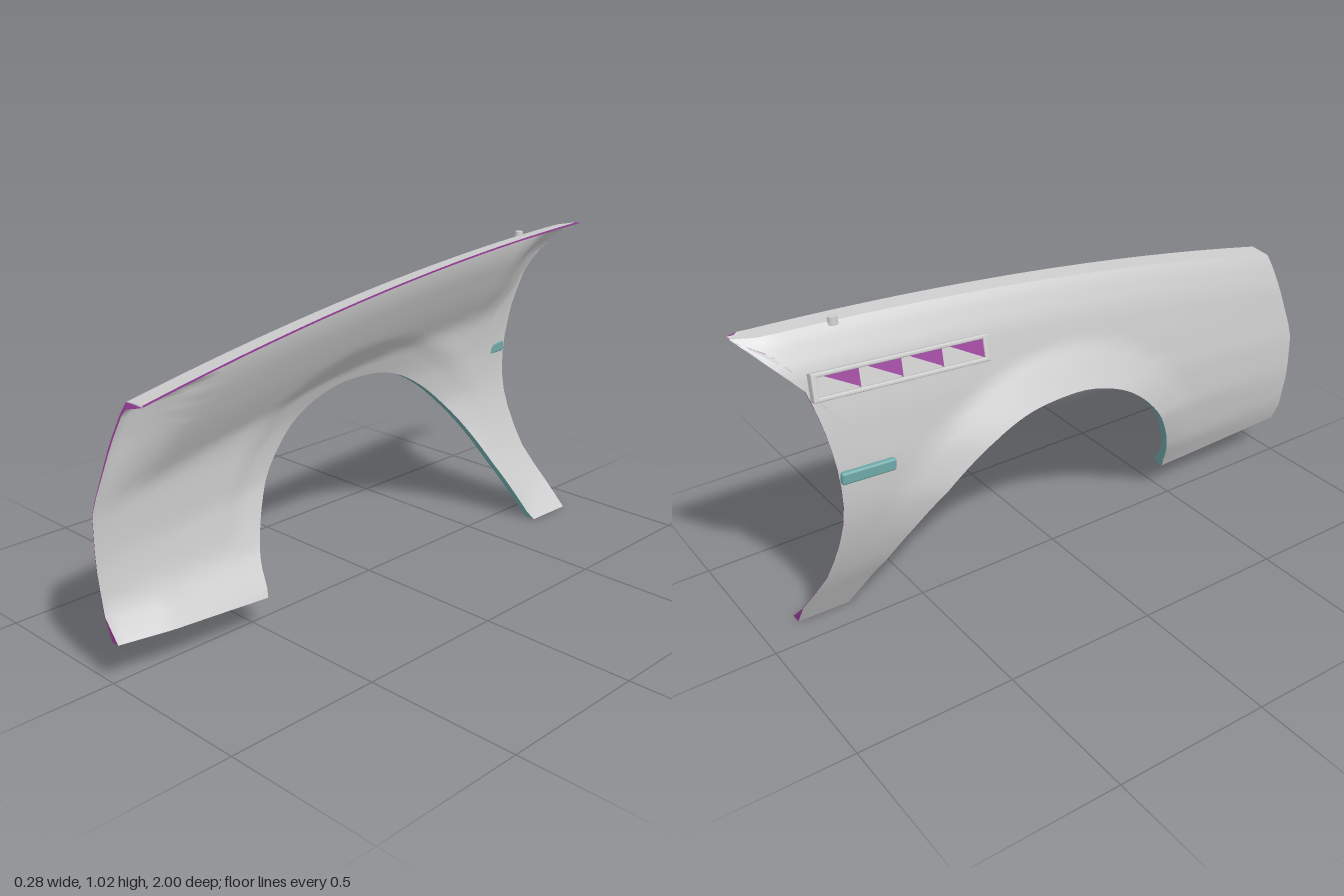
import * as THREE from 'three';
import { RoundedBoxGeometry } from 'three/addons/geometries/RoundedBoxGeometry.js';

const { clamp, lerp, smoothstep } = THREE.MathUtils;
const mat = (color) => new THREE.MeshStandardMaterial({ color, side: THREE.DoubleSide });
const grey = mat(0xcccccc), purple = mat(0x9a3f9a), teal = mat(0x6fa8a8);
const fade = (d, w) => clamp(1 - d / w, 0, 1);
const curve = (points) => new THREE.CatmullRomCurve3(
  points.map(([y, z]) => new THREE.Vector3(0, y, z)), false, 'centripetal');

// Wheel arch, front to rear, and rear edge, bottom to top, as (y, z)
const arch = curve([
  [0.10, 0.49], [0.22, 0.45], [0.33, 0.40], [0.45, 0.32], [0.555, 0.20], [0.61, 0.06], [0.62, -0.06],
  [0.605, -0.2], [0.55, -0.33], [0.46, -0.45], [0.345, -0.55], [0.22, -0.62], [0, -0.71],
]);
const rearPoints = [
  [0, -0.88], [0.07, -0.88], [0.2, -0.83], [0.42, -0.79], [0.56, -0.79], [0.75, -0.82], [0.94, -0.89], [1.014, -1],
];
const rear = curve(rearPoints);
const frontZ = (y) => (y < 0.5 ? 1 : 1 - 0.3 * (y - 0.5));

// Side profiles, as (share of height, x)
const frontProfile = [[0, 0.06], [0.16, 0.012], [0.25, -0.02], [0.44, -0.045], [0.62, -0.045], [0.86, -0.02], [0.955, 0], [1, 0.015]];
const rearProfile = [[0, 0.1], [0.1, 0.04], [0.2, -0.02], [0.33, -0.07], [0.45, -0.1], [0.58, -0.105], [0.75, -0.09], [0.9, -0.06], [0.98, -0.015], [1, 0.005]];
function lookup(table, h) {
  let i = 1;
  while (i < table.length - 1 && table[i][0] < h) i++;
  const [a, b] = [table[i - 1], table[i]];
  return lerp(a[1], b[1], clamp((h - a[0]) / (b[0] - a[0]), 0, 1));
}
const topY = (z) => 0.939 - 0.1193 * z - 0.0443 * z * z;
const rimX = (z) => lerp(0.085, 0.055, (0.91 - z) / 1.9);
function bodyX(y, z) {
  const h = clamp(y / topY(z), 0, 1);
  const x = lerp(lookup(frontProfile, h), lookup(rearProfile, h), clamp((1 - z) / 2, 0, 1));
  return x - 0.015 * (1 - z * z) * Math.sin(Math.PI * h) + 0.03 * clamp((-0.93 - z) / 0.07, 0, 1);
}

// Columns run from the arch to the outer outline
const NF = 16, NT = 30, NR = 20, ROWS = 24, COLS = NF + NT + NR;
function column(i) {
  if (i <= NF) {
    const t = i / NF, y = lerp(0.13, 0.8, 1 - (1 - t) ** 1.6), z = frontZ(y);
    return [arch.getPointAt(0.22 * t), new THREE.Vector3(0, Math.min(y, topY(z)), z)];
  }
  if (i <= NF + NT) {
    const t = (i - NF) / NT, z = lerp(0.91, -1, t);
    return [arch.getPointAt(lerp(0.22, 0.7, t)), new THREE.Vector3(0, topY(z), z)];
  }
  const t = (i - NF - NT) / NR;
  return [arch.getPointAt(lerp(0.7, 1, t)), rear.getPointAt(1 - t ** 1.4)];
}
const columns = Array.from({ length: COLS + 1 }, (_, i) => column(i));

function outer(i, j) {
  const [a, b] = columns[i];
  const v = 0.5 - 0.5 * Math.cos(Math.PI * j / ROWS);
  const p = a.clone().lerp(b, v);
  p.x = bodyX(p.y, p.z) - 0.055 * fade(v * a.distanceTo(b), 0.13) * smoothstep(a.y, 0.1, 0.6);
  return p;
}
// Inner skin: runs out thin at the front and rear edges, deep at the rim, arch and feet
function inner(i, j) {
  const p = outer(i, j), [a] = columns[i];
  const drop = topY(p.z) - p.y, foot = p.z > 0 ? p.y - 0.12 : p.y;
  const lip = 0.016 * fade(Math.hypot(p.y - a.y, p.z - a.z), 0.1);
  const t = 0.012 + Math.max(lip, p.z > 0 ? 0.03 * fade(foot, 0.12) : 0.022 * fade(foot, 0.09));
  const depth = lerp(t, rimX(p.z) - p.x, fade(drop, 0.28));
  const edge = Math.min((frontZ(p.y) - p.z) / 0.18, (p.z - lookup(rearPoints, p.y)) / 0.2);
  p.x += depth * Math.max(clamp(edge, 0.1, 1), fade(drop, 0.02), fade(foot, 0.03));
  return p;
}
function rim(i) {
  const p = outer(i, ROWS);
  return new THREE.Vector3(rimX(p.z), p.y + 0.006, Math.max(p.z, -0.97));
}

// Surface through a grid of points
function sheet(name, nu, nv, point, material, flip = false) {
  const pos = [], index = [];
  for (let i = 0; i <= nu; i++) for (let j = 0; j <= nv; j++) pos.push(...point(i, j).toArray());
  for (let i = 0; i < nu; i++) for (let j = 0; j < nv; j++) {
    const a = i * (nv + 1) + j, b = a + nv + 1;
    index.push(...(flip ? [a, a + 1, b, b, a + 1, b + 1] : [a, b, a + 1, b, b + 1, a + 1]));
  }
  const g = new THREE.BufferGeometry();
  g.setAttribute('position', new THREE.Float32BufferAttribute(pos, 3));
  g.setIndex(index);
  g.computeVertexNormals();
  return part(name, g, material);
}
function part(name, geometry, material, x = 0, y = 0, z = 0) {
  const m = new THREE.Mesh(geometry, material);
  m.name = name;
  m.position.set(x, y, z);
  return m;
}

// Louvred side vent: frame, floor, dividers and slanted pockets
function sideVent() {
  const vent = new THREE.Group(), L = 0.57, H = 0.08;
  const rect = (S, l, h) => new S([[-l, -h], [l, -h], [l, h], [-l, h]].map(([x, y]) => new THREE.Vector2(x / 2, y / 2)));
  const frame = rect(THREE.Shape, L, H);
  frame.holes.push(rect(THREE.Path, L - 0.035, H - 0.026));
  const face = new THREE.Group();
  face.rotation.y = -Math.PI / 2;
  face.add(part('ventFrame', new THREE.ExtrudeGeometry(frame, {
    depth: 0.018, bevelThickness: 0.004, bevelSize: 0.004, bevelOffset: -0.004, bevelSegments: 2,
  }), grey));
  face.add(part('ventFloor', new THREE.BoxGeometry(L - 0.03, H - 0.02, 0.006), grey, 0, 0, 0.002));
  const step = (L - 0.035) / 4, h = (H - 0.026) / 2;
  for (let k = 0; k < 4; k++) {
    const x = (k - 1.5) * step;
    if (k) face.add(part('ventDivider', new THREE.BoxGeometry(0.012, 2 * h, 0.017), grey, x - step / 2, 0, 0.009));
    const g = new THREE.BufferGeometry();
    g.setAttribute('position', new THREE.Float32BufferAttribute([
      step / 2, -h, 0.017, step / 2, h, 0.017, -step / 3, h, 0.006], 3));
    g.computeVertexNormals();
    face.add(part('ventPocket', g, purple, x, 0, 0));
  }
  vent.add(face);
  vent.name = 'sideVent';
  vent.position.set(-0.066, 0.845, -0.56);
  vent.rotation.set(0.09, 0.04, -0.3);
  return vent;
}

export function createModel() {
  const model = new THREE.Group();
  model.name = 'fender';
  model.add(sheet('outerSkin', COLS, ROWS, outer, grey, true));
  model.add(sheet('innerSkin', COLS, ROWS, inner, grey));
  // Top flange and its thin inner edge
  model.add(sheet('topFlange', NT, 1, (i, j) => (j ? rim(i + NF) : outer(i + NF, ROWS)), grey, true));
  model.add(sheet('topEdge', NT, 1, (i, j) => (j ? rim(i + NF) : inner(i + NF, ROWS)), purple));
  // Closing strips around the outline
  const strip = (name, n, at, material) =>
    model.add(sheet(name, n, 1, (i, j) => (j ? inner : outer)(...at(i)), material));
  strip('archLip', COLS, (i) => [i, 0], teal);
  strip('frontEdge', NF, (i) => [i, ROWS], purple);
  strip('rearEdge', NR, (i) => [i + NF + NT, ROWS], purple);
  strip('frontFoot', ROWS, (j) => [0, j], purple);
  strip('rearFoot', ROWS, (j) => [COLS, j], purple);

  model.add(sideVent());
  // Side trim strip behind the arch
  const trim = part('sideTrim', new RoundedBoxGeometry(0.02, 0.038, 0.17, 2, 0.007), teal, -0.108, 0.58, -0.705);
  trim.rotation.x = 0.05;
  model.add(trim);
  // Aerial base
  model.add(part('aerialBase', new THREE.CylinderGeometry(0.013, 0.016, 0.022, 20), grey, 0.005, 1.005, -0.72));
  return model;
}
